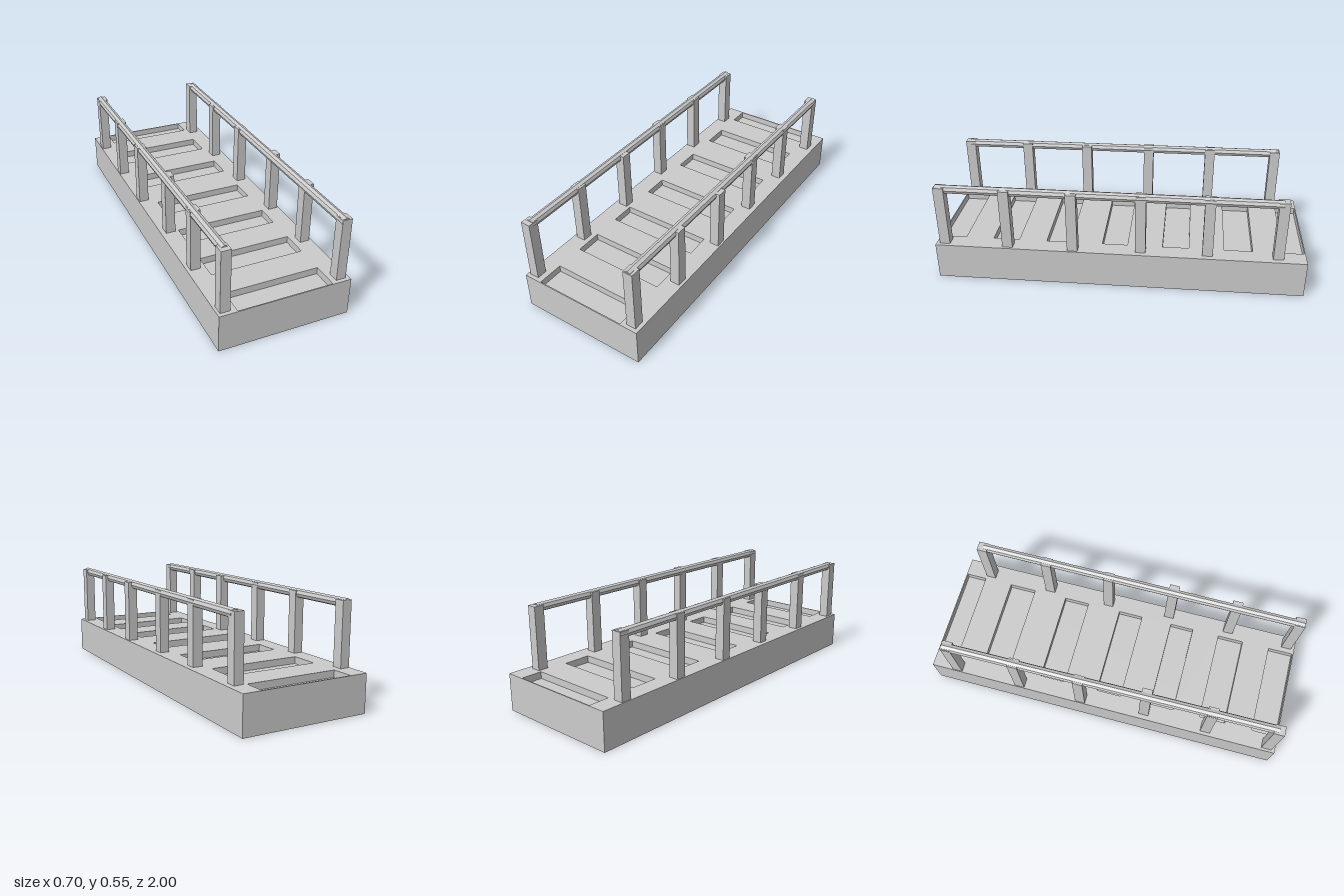
import * as THREE from 'three';

const mat = new THREE.MeshStandardMaterial({ color: 0xcccccc, flatShading: true });
const TOP = 0.203, DEPTH = 0.037, POST_TOP = 0.54;

function add(parent, geometry, name, x = 0, y = 0, z = 0) {
  const mesh = new THREE.Mesh(geometry, mat);
  mesh.name = name;
  mesh.position.set(x, y, z);
  parent.add(mesh);
  return mesh;
}

function rectangle(path, x0, x1, z0, z1) {
  path.moveTo(x0, z0);
  path.lineTo(x1, z0);
  path.lineTo(x1, z1);
  path.lineTo(x0, z1);
  path.closePath();
  return path;
}

// Solid lower block with a pierced slab on top, so the openings become shallow recesses
function buildDeck() {
  const deck = new THREE.Group();
  deck.name = 'deck';
  const lower = TOP - DEPTH;
  add(deck, new THREE.BoxGeometry(0.7, lower, 2), 'deckBase', 0, lower / 2, 0);

  const slab = rectangle(new THREE.Shape(), -0.35, 0.35, -1, 1);
  const recesses = [[-0.994, -0.88], [-0.72, -0.568], [-0.378, -0.235], [-0.044, 0.094],
    [0.27, 0.402], [0.556, 0.7], [0.855, 0.994]];
  for (const [z0, z1] of recesses) {
    slab.holes.push(rectangle(new THREE.Path(), -0.253, 0.25, z0, z1));
  }
  const geometry = new THREE.ExtrudeGeometry(slab, { depth: DEPTH, bevelEnabled: false });
  geometry.rotateX(Math.PI / 2);
  add(deck, geometry, 'recessedTop', 0, TOP, 0);
  return deck;
}

// Row of slightly misaligned posts carrying an eight-sided handrail
function buildRailing(name, postXs, railStart, railEnd) {
  const railing = new THREE.Group();
  railing.name = name;
  const postZs = [0.952, 0.603, 0.247, -0.118, -0.477, -0.851];
  const height = POST_TOP - TOP;
  postZs.forEach((z, i) => {
    add(railing, new THREE.BoxGeometry(0.052, height, 0.056), 'post', postXs[i], TOP + height / 2, z);
  });

  const length = railStart.distanceTo(railEnd);
  const geometry = new THREE.CylinderGeometry(0.024, 0.024, length, 8);
  geometry.rotateX(Math.PI / 2);
  const rail = add(railing, geometry, 'handrail');
  rail.position.copy(railStart).lerp(railEnd, 0.5);
  rail.lookAt(railEnd);
  return railing;
}

export function createModel() {
  const model = new THREE.Group();
  model.name = 'footbridge';
  const railY = 0.524;
  model.add(buildDeck());
  model.add(buildRailing('leftRailing', [0.304, 0.31, 0.315, 0.296, 0.295, 0.294],
    new THREE.Vector3(0.3, railY, 0.975), new THREE.Vector3(0.3, railY, -0.85)));
  model.add(buildRailing('rightRailing', [-0.31, -0.306, -0.298, -0.319, -0.319, -0.319],
    new THREE.Vector3(-0.306, railY, 0.953), new THREE.Vector3(-0.323, railY, -0.875)));
  return model;
}
